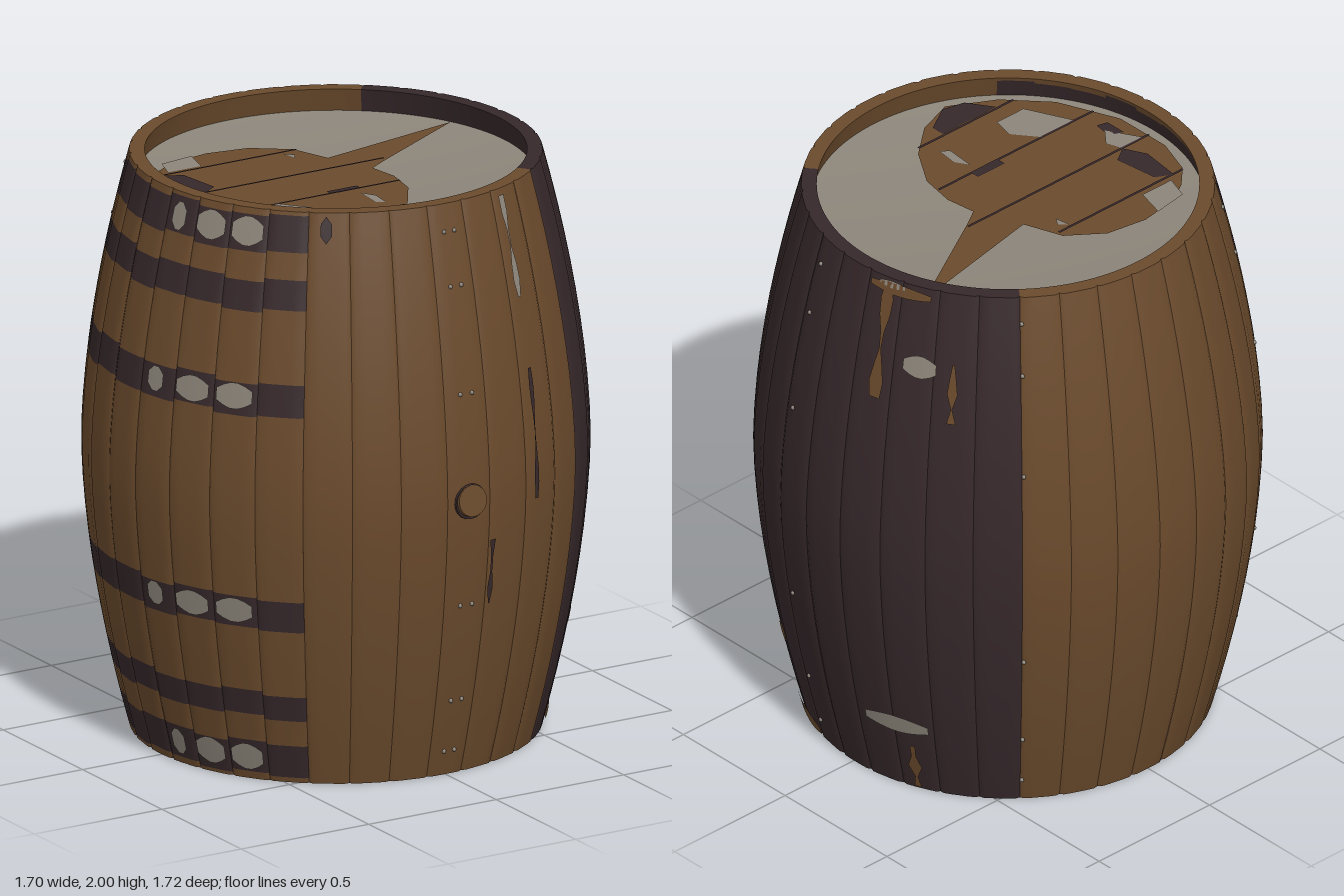
import * as THREE from 'three';
import { mergeGeometries } from 'three/addons/utils/BufferGeometryUtils.js';

const material = (name, color) =>
  Object.assign(new THREE.MeshStandardMaterial({ color, side: THREE.DoubleSide }), { name });

const STAVES = 32, STEP = 360 / STAVES, HALF = STEP / 2;
const outerRadius = (y) => 0.852 - 0.16 * Math.pow(Math.abs(y - 1), 1.7);
const innerRadius = (y) => outerRadius(y) - 0.055;
const polar = (deg, y, r) => {
  const a = THREE.MathUtils.degToRad(deg);
  return [r * Math.sin(a), y, r * Math.cos(a)];
};

// Surface through equal rows of points; columns run right, rows run up
function grid(rows) {
  const n = rows[0].length, index = [];
  for (let i = 0; i < rows.length - 1; i++)
    for (let j = 0; j < n - 1; j++) {
      const a = i * n + j, b = a + 1, c = a + n, d = c + 1;
      index.push(a, b, d, a, d, c);
    }
  const g = new THREE.BufferGeometry();
  g.setAttribute('position', new THREE.Float32BufferAttribute(rows.flat(2), 3));
  g.setIndex(index);
  g.computeVertexNormals();
  return g;
}

// A length of one stave between two heights, with rounded long edges
function staveSection(k, y0, y1) {
  const offsets = [-1, -0.8, -0.4, 0, 0.4, 0.8, 1];
  const outer = (y) => offsets.map((t) =>
    polar((k + t / 2) * STEP, y, outerRadius(y) - 0.004 * (1 - t * t) - 0.01 * Math.pow(Math.abs(t), 8)));
  const inner = (y) => offsets.map((t) => polar((k + t / 2) * STEP, y, innerRadius(y)));
  const count = Math.max(1, Math.ceil((y1 - y0) / 0.1));
  const ys = Array.from({ length: count + 1 }, (_, i) => y0 + (y1 - y0) * i / count);
  const parts = [grid(ys.map(outer)), grid(ys.map((y) => inner(y).reverse()))];
  if (y1 === 2) parts.push(grid([outer(2), inner(2)]));
  if (y0 === 0) parts.push(grid([inner(0), outer(0)]));
  return mergeGeometries(parts);
}

// Thin painted patch lying on the barrel, spanning angles and heights with a wavy outline
function patchGeometry(a0, a1, y0, y1) {
  const nA = Math.max(2, Math.ceil((a1 - a0) / 2)), nY = Math.max(3, Math.ceil((y1 - y0) / 0.06));
  const tall = y1 - y0 > 0.12, rows = [];
  for (let i = 0; i <= nY; i++) {
    const row = [];
    for (let j = 0; j <= nA; j++) {
      const u = j / nA, v = i / nY;
      const pinchA = tall ? 0.55 + 0.45 * Math.sin(v * 9 + a0) : 1;
      const pinchY = tall ? 1 : 0.45 + 0.55 * Math.sin(Math.PI * u);
      const y = y0 + (y1 - y0) * (0.5 + (v - 0.5) * pinchY);
      row.push(polar(a0 + (a1 - a0) * (0.5 + (u - 0.5) * pinchA), y, outerRadius(y) + 0.003));
    }
    rows.push(row);
  }
  return grid(rows);
}

export function createModel() {
  const brown = material('brown wood', 0x6a4a2c);
  const dark = material('dark stain', 0x36282b);
  const grey = material('bare grey', 0x8c857a);
  const model = new THREE.Group();
  model.name = 'barrel';
  const body = new THREE.Group();
  body.name = 'body';
  body.position.z = -0.01;
  model.add(body);
  const add = (parent, name, geometry, mat) => {
    const mesh = new THREE.Mesh(geometry, mat);
    mesh.name = name;
    parent.add(mesh);
    return mesh;
  };

  // Staves: plain brown, plain dark on one side, banded on the other
  const stripes = [[0.02, 0.14], [0.24, 0.33], [0.57, 0.68], [1.32, 1.43], [1.67, 1.77], [1.86, 1.98]];
  const worn = [0, 2, 3, 5];
  for (let k = -15; k <= 16; k++) {
    if (k > -4 || k < -11) {
      add(body, 'stave', staveSection(k, 0, 2), k >= 4 && k <= 12 ? dark : brown);
      continue;
    }
    let y = 0;
    stripes.forEach(([a, b], i) => {
      const lift = 0.008 * Math.sin(k * 2.3 + i);
      add(body, 'stave', staveSection(k, y, a + lift), brown);
      add(body, 'staveBand', staveSection(k, a + lift, b + lift), dark);
      y = b + lift;
      if (worn.includes(i) && k <= -5 && k >= -7) {
        const mid = k * STEP, w = k === -7 ? 2.5 : 4.6;
        add(body, 'wornBand', patchGeometry(mid - w, mid + w, a + 0.015, b - 0.005), grey);
      }
    });
    add(body, 'stave', staveSection(k, y, 2), brown);
  }

  // Worn patches: start angle, end angle, bottom, top
  const patches = [
    [grey, 99, 117, 0.25, 0.32], [grey, 110, 119, 1.69, 1.77], [grey, 18.5, 21, 1.64, 1.98],
    [brown, 101, 105, 1.58, 1.99], [brown, 122, 125, 1.55, 1.76], [brown, 110, 114, 0.01, 0.2],
    [brown, 61, 65, 0.31, 0.4], [brown, 55, 75, 0, 0.06], [brown, 97, 116, 1.95, 1.99],
    [grey, 100, 108, 1.97, 1.995], [dark, 19, 20.5, 0.95, 1.4], [dark, 5.4, 7, 0.62, 0.85],
    [dark, -36, -33, 1.9, 1.99],
  ];
  for (const [mat, ...span] of patches) add(body, 'wornPatch', patchGeometry(...span), mat);

  // Nail heads in columns
  const nail = new THREE.SphereGeometry(0.008, 6, 4);
  for (const angle of [-1.6, 1.6, 76.5, 141, -133])
    for (const y of [0.09, 0.28, 0.63, 1.37, 1.73, 1.91])
      add(body, 'nail', nail, grey).position.set(...polar(angle, y, outerRadius(y) - 0.002));

  // Bung, tilted in its seat
  const seat = add(body, 'bungSeat', new THREE.CylinderGeometry(0.06, 0.062, 0.012, 20), dark);
  seat.rotation.x = Math.PI / 2;
  seat.position.set(0, 1, 0.848);
  const bung = add(body, 'bung', new THREE.CylinderGeometry(0.054, 0.056, 0.02, 20), brown);
  bung.rotation.x = Math.PI / 2 - 0.15;
  bung.position.set(0, 1.005, 0.855);

  // Recessed ends: grey board, planks with a splintered edge, stains and seams
  const planks = [[-.5, -.31], [-.42, -.36], [-.27, -.385], [-.12, -.36], [0, -.27], [.05, -.13], [.6, -.24],
    [.2, -.01], [.12, .04], [.135, .15], [.11, .28], [.02, .42], [-.1, .52], [-.24, .57], [-.4, .48],
    [-.53, .34], [-.62, .12], [-.62, -.1], [-.57, -.24]];
  const stains = [
    [grey, [[-.49, -.27], [-.46, -.36], [-.33, -.38], [-.36, -.27]]],
    [grey, [[-.5, .21], [-.35, .21], [-.28, .3], [-.3, .38], [-.42, .38]]],
    [grey, [[-.6, -.02], [-.5, -.02], [-.48, .04], [-.53, .1]]],
    [grey, [[-.06, .25], [-.03, .3], [-.04, .38], [-.07, .36]]],
    [grey, [[-.06, -.24], [-.03, -.21], [-.05, -.18]]],
    [dark, [[-.52, -.25], [-.46, -.22], [-.44, -.06], [-.5, -.02], [-.54, -.1]]],
    [dark, [[-.36, .45], [-.12, .45], [-.12, .5], [-.22, .56], [-.3, .54]]],
    [dark, [[-.15, .18], [-.03, .18], [-.03, .21], [-.15, .21]]],
    [dark, [[-.57, .05], [-.52, .07], [-.53, .14], [-.57, .13]]],
  ];
  const seams = [[-.25, -.56, 0], [-.02, -.62, .2], [.21, -.58, .12], [.44, -.43, 0]];
  for (const s of [1, -1]) {
    const end = new THREE.Group();
    end.name = s > 0 ? 'topLid' : 'bottomLid';
    end.position.y = s > 0 ? 1.92 : 0.08;
    body.add(end);
    const plate = (name, pts, lift, mat) => {
      const shape = new THREE.Shape(pts.map(([x, z]) => new THREE.Vector2(x, -s * z)));
      add(end, name, new THREE.ShapeGeometry(shape).rotateX(-s * Math.PI / 2), mat).position.y = s * lift;
    };
    const profile = [[0.67, 0], [0.5, -0.02], [0.25, -0.035], [0, -0.04]]
      .map(([r, y]) => new THREE.Vector2(r, s * y));
    add(end, 'board', new THREE.LatheGeometry(s > 0 ? profile : profile.reverse(), 48), grey);
    plate('planks', planks, 0.003, brown);
    for (const [mat, pts] of stains) plate('plankStain', pts, 0.006, mat);
    for (const [z, x0, x1] of seams)
      plate('plankSeam', [[x0, z - .005], [x1, z - .005], [x1, z + .005], [x0, z + .005]], 0.008, dark);
  }
  return model;
}
